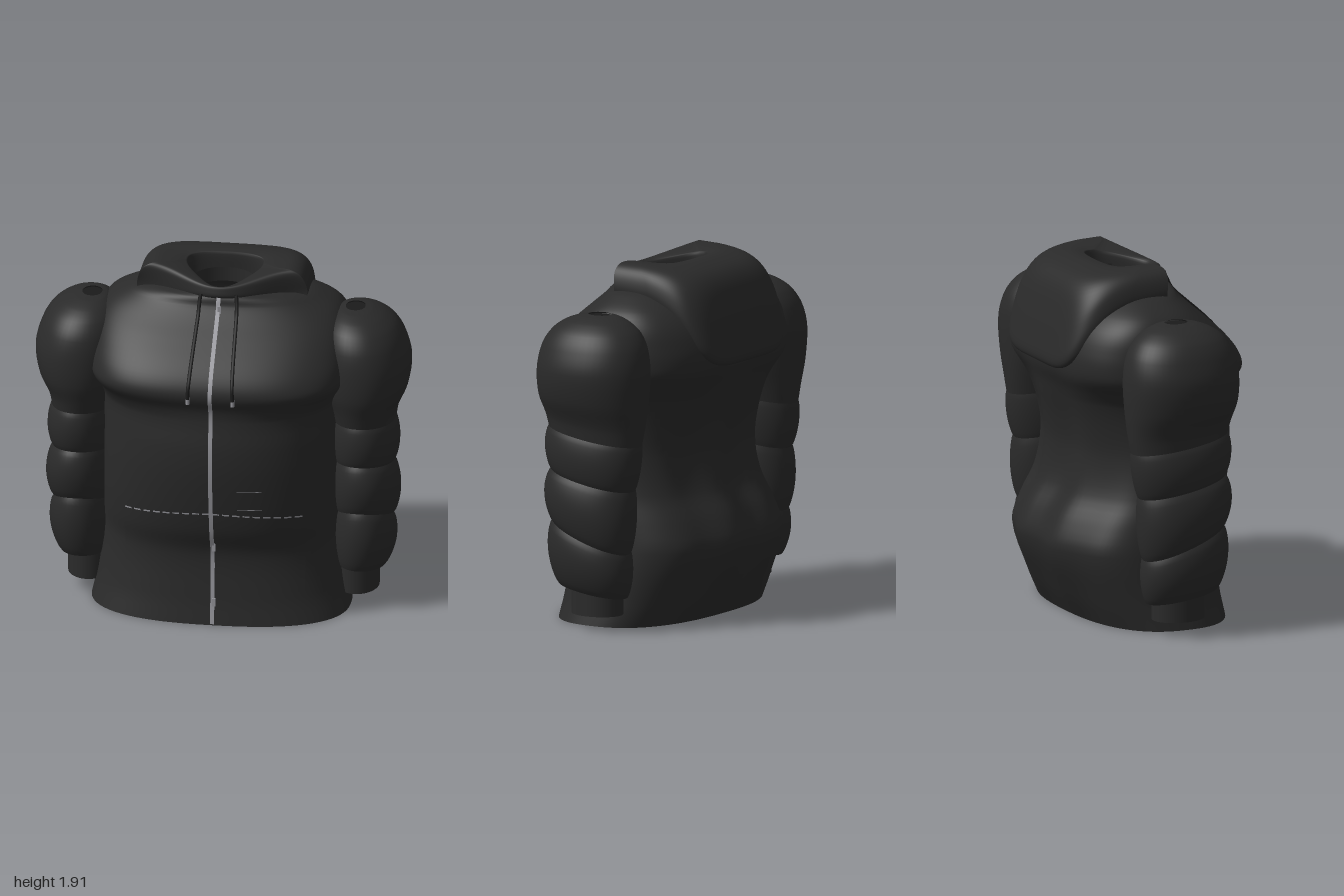
import * as THREE from 'three';

const mat = (name, color) => {
  const m = new THREE.MeshStandardMaterial({ color, side: THREE.DoubleSide });
  m.name = name;
  return m;
};
const lerp = THREE.MathUtils.lerp;
const spow = (v, e) => Math.sign(v) * Math.pow(Math.abs(v), e);

// Torso sections: y, half width, front z, back z, squareness
const TORSO = [
  [0, .69, .44, -.35, 2.5], [.15, .66, .42, -.43, 2.5], [.4, .635, .41, -.53, 2.5],
  [.55, .63, .46, -.49, 2.4], [.7, .625, .49, -.41, 2.3], [.9, .62, .515, -.38, 2.2],
  [1.05, .62, .515, -.40, 2.2], [1.2, .63, .495, -.44, 2.3], [1.27, .65, .5, -.46, 2.6],
  [1.35, .685, .53, -.49, 3], [1.42, .69, .51, -.5, 3], [1.5, .685, .45, -.49, 2.9],
  [1.6, .665, .345, -.45, 2.8], [1.68, .62, .255, -.39, 2.6], [1.74, .53, .2, -.32, 2.4],
  [1.78, .42, .185, -.26, 2.2], [1.8, .23, .165, -.2, 2],
];

// Smooth section at height y (first column of the rows)
function sample(rows, y) {
  const last = rows.length - 1;
  let i = 0;
  while (i < last - 1 && y > rows[i + 1][0]) i++;
  const a = rows[i], b = rows[i + 1], h = b[0] - a[0], t = (y - a[0]) / h;
  const slope = (k, c) => {
    const p = rows[Math.max(k - 1, 0)], q = rows[Math.min(k + 1, last)];
    return (q[c] - p[c]) / (q[0] - p[0]);
  };
  return a.map((v, c) => c === 0 ? y :
    v * (2 * t ** 3 - 3 * t * t + 1) + b[c] * (3 * t * t - 2 * t ** 3)
    + h * slope(i, c) * (t ** 3 - 2 * t * t + t) + h * slope(i + 1, c) * (t ** 3 - t * t));
}

// Grid surface; point(i, j) returns [x, y, z]; wrap closes each row into a ring
function surface(rows, cols, point, wrap) {
  const pos = [], idx = [], n = wrap ? cols : cols + 1;
  for (let i = 0; i <= rows; i++) for (let j = 0; j < n; j++) pos.push(...point(i, j));
  for (let i = 0; i < rows; i++) for (let j = 0; j < cols; j++) {
    const a = i * n + j, b = i * n + (j + 1) % n;
    idx.push(a, a + n, b, b, a + n, b + n);
  }
  const g = new THREE.BufferGeometry();
  g.setAttribute('position', new THREE.Float32BufferAttribute(pos, 3));
  g.setIndex(idx);
  g.computeVertexNormals();
  return g;
}

// Front surface of the torso
function frontZ(x, y) {
  const [, hw, zf, zb, n] = sample(TORSO, y), mid = (zf + zb) / 2;
  return mid + (zf - mid) * Math.pow(Math.max(0, 1 - Math.pow(Math.abs(x / hw), n)), 1 / n);
}

// Thin panel lying on the torso front; y0 and y1 are functions of x
function panel(x0, x1, y0, y1, off, nx, ny) {
  return surface(ny, nx, (i, j) => {
    const x = lerp(x1, x0, j / nx), y = lerp(y0(x), y1(x), i / ny);
    return [x, y, frontZ(x, y) + off];
  }, false);
}

// Hood rings: half width, front z, side z, back z, front y, side y, back y, flatness
const HOOD = [
  [.40, .14, .02, -.46, 1.76, 1.70, 1.40, 1], [.44, .175, .03, -.51, 1.77, 1.72, 1.38, 1],
  [.45, .18, .04, -.53, 1.78, 1.74, 1.42, 1], [.455, .19, .04, -.51, 1.80, 1.79, 1.52, 1],
  [.44, .185, .05, -.47, 1.825, 1.85, 1.67, 1], [.41, .18, .05, -.425, 1.84, 1.89, 1.79, .9],
  [.36, .175, .04, -.36, 1.845, 1.91, 1.86, .8], [.29, .17, .01, -.26, 1.845, 1.905, 1.895, .65],
  [.22, .16, -.06, -.19, 1.84, 1.89, 1.895, .45], [.2, .145, -.085, -.17, 1.82, 1.87, 1.88, .35],
  [.2, .14, -.08, -.17, 1.74, 1.74, 1.78, .3],
];

function hoodGeometry() {
  const rows = HOOD.map((r, i) => [i, ...r]), sub = 4, cols = 96;
  return surface((rows.length - 1) * sub, cols, (i, j) => {
    const [, rx, zf, z0, zb, yF, yS, yB, w] = sample(rows, i / sub);
    const a = j / cols * Math.PI * 2, c = Math.cos(a), s = Math.sin(a);
    if (s >= 0) { // bell-shaped front that dips to the throat
      const k = lerp(s, .5 + .5 * Math.cos(Math.PI * c), w);
      return [rx * c, lerp(yS, yF, k), lerp(z0, zf, k)];
    }
    const e = lerp(1, .36, w); // squared back flap
    return [rx * spow(c, e), lerp(yS, yB, lerp(s * s, -s, w)), lerp(z0, zb, Math.pow(-s, e))];
  }, true);
}

// One ring point of a sleeve section: y, inner x, outer x, front z, back z, tilt
function sleevePoint([y, xi, xo, zf, zb, tilt], a) {
  const x = (xi + xo) / 2 + (xo - xi) / 2 * spow(Math.cos(a), .95);
  const z = (zf + zb) / 2 + (zf - zb) / 2 * spow(Math.sin(a), .95);
  return [x, y + tilt * (z + .03), z];
}

// Padded section swelling between two seams
function puff(low, high, bulge) {
  const rows = 16, cols = 48;
  return surface(rows, cols, (i, j) => {
    const t = i / rows, b = bulge * Math.pow(Math.max(0, Math.sin(Math.PI * t)), .7);
    const r = low.map((v, k) => lerp(v, high[k], t));
    r[1] -= b * .5; r[2] += b; r[3] += b; r[4] -= b * .6;
    return sleevePoint(r, j / cols * Math.PI * 2);
  }, true);
}

const SHOULDER = [
  [1.05, .59, .915, .235, -.31, .15], [1.13, .57, .93, .255, -.325, .1], [1.25, .53, .98, .285, -.34, .04],
  [1.4, .51, 1.0, .29, -.345, 0], [1.52, .52, .97, .27, -.325, 0], [1.6, .54, .925, .225, -.28, 0],
  [1.65, .58, .865, .165, -.22, 0], [1.68, .62, .80, .09, -.15, 0], [1.69, .65, .755, .03, -.095, 0],
];

export function createModel() {
  const model = new THREE.Group();
  model.name = 'hoodedJacket';
  const fabric = mat('charcoal fabric', 0x2a2a2a);
  const cord = mat('black cord', 0x1b1b1b);
  const metal = mat('zip metal', 0x96969c);
  const add = (parent, name, geo, m) => {
    const mesh = new THREE.Mesh(geo, m);
    mesh.name = name;
    parent.add(mesh);
    return mesh;
  };

  // Body shell, open at hem and neck, with soft folds down the back
  const sub = 4, cols = 96;
  add(model, 'torso', surface((TORSO.length - 1) * sub, cols, (i, j) => {
    const k = Math.min(Math.floor(i / sub), TORSO.length - 2);
    const [y, hw, zf, zb, n] = sample(TORSO, lerp(TORSO[k][0], TORSO[k + 1][0], i / sub - k));
    const a = j / cols * Math.PI * 2, c = Math.cos(a), s = Math.sin(a), mid = (zf + zb) / 2;
    const x = hw * spow(c, 2 / n);
    let z = mid + (zf - zb) / 2 * spow(s, 2 / n);
    if (s < 0) z += .02 * s * s * Math.cos(x * 16 + y * 1.5) * Math.sin(Math.PI * Math.min(1, y / 1.4));
    return [x, y, z];
  }, true), fabric);

  add(model, 'hood', hoodGeometry(), fabric);

  // Upright band inside the neck
  const band = add(model, 'neckBand', new THREE.CylinderGeometry(.165, .165, .08, 48, 1, true), fabric);
  band.scale.z = .88;
  band.position.set(0, 1.77, -.02);

  // Front pocket and its stitched upper edge
  const pocketTop = x => .67 - .04 * Math.pow(Math.abs(x) / .48, 1.5);
  for (const [x0, x1] of [[-.48, -.015], [.015, .48]])
    add(model, 'pocket', panel(x0, x1, () => .18, pocketTop, .006, 16, 16), fabric);
  for (let k = 0; k < 18; k++) {
    const x = -.475 + k * .0535;
    add(model, 'pocketStitch', panel(x, x + .038, v => pocketTop(v) - .005, v => pocketTop(v) + .004, .01, 2, 1), metal);
  }
  for (const y of [.7, .81])
    add(model, 'sideStitch', panel(.14, .27, () => y - .002, () => y + .002, .009, 4, 1), metal);

  // Zip with pulls
  add(model, 'zip', panel(-.011, .011, () => .01, () => 1.79, .01, 1, 90), metal);
  for (const y of [.13, .45, 1.73])
    add(model, 'zipPull', new THREE.BoxGeometry(.018, .045, .009), metal)
      .position.set(.008, y, frontZ(0, y) + .01);

  // Drawstrings with metal tips
  for (const s of [-1, 1]) {
    const pts = [new THREE.Vector3(s * .095, 1.81, .19), new THREE.Vector3(s * .1, 1.76, .21)];
    for (let y = 1.71; y > 1.36; y -= .06) {
      const x = s * (.12 - (y - 1.35) * .05);
      pts.push(new THREE.Vector3(x, y, frontZ(x, y) + .014));
    }
    pts.push(new THREE.Vector3(s * .12, 1.35, .535));
    add(model, 'drawstring', new THREE.TubeGeometry(new THREE.CatmullRomCurve3(pts), 40, .01, 8), cord);
    add(model, 'drawstringTip', new THREE.CylinderGeometry(.011, .011, .04, 10), metal)
      .position.set(s * .12, 1.34, .53);
  }

  // Padded sleeves: shoulder, three puffs and a cuff
  const seams = [
    [.21, .62, .865, .185, -.22, .15], [.5, .61, .905, .21, -.245, .36],
    [.81, .60, .91, .22, -.27, .2], [1.05, .59, .915, .235, -.31, .15],
  ];
  for (const s of [1, -1]) {
    const sleeve = new THREE.Group();
    sleeve.name = s > 0 ? 'leftSleeve' : 'rightSleeve';
    const n = (SHOULDER.length - 1) * 4;
    add(sleeve, 'shoulderPuff', surface(n, 48, (i, j) => {
      const k = Math.min(Math.floor(i / 4), SHOULDER.length - 2);
      const y = lerp(SHOULDER[k][0], SHOULDER[k + 1][0], i / 4 - k);
      return sleevePoint(sample(SHOULDER, y), j / 48 * Math.PI * 2);
    }, true), fabric);
    ['lowerPuff', 'forearmPuff', 'elbowPuff'].forEach((name, k) =>
      add(sleeve, name, puff(seams[k], seams[k + 1], [.036, .036, .024][k]), fabric));
    const cuff = add(sleeve, 'cuff', new THREE.CylinderGeometry(1, 1, .2, 40, 1, true), fabric);
    cuff.scale.set(.115, 1, .145);
    cuff.position.set(.715, .18, -.025);
    // Dark recess on top of the shoulder
    const recess = add(sleeve, 'shoulderRecess', new THREE.CircleGeometry(1, 32), cord);
    recess.rotation.x = -Math.PI / 2;
    recess.scale.set(.056, .066, 1);
    recess.position.set(.7025, 1.682, -.0325);
    sleeve.scale.x = s;
    model.add(sleeve);
  }
  return model;
}
